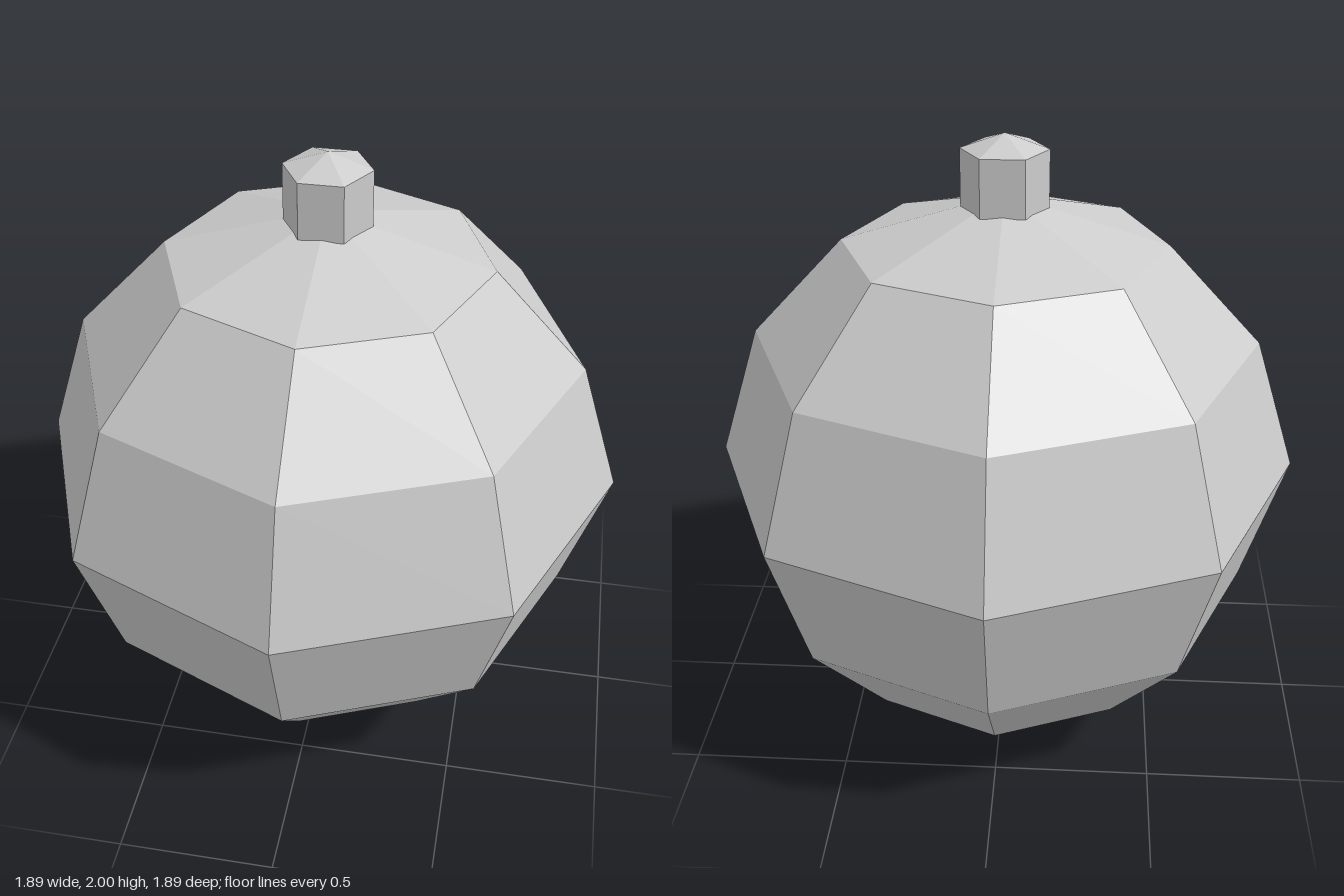
import * as THREE from 'three';

export function createModel() {
  const model = new THREE.Group();
  const grey = new THREE.MeshStandardMaterial({ color: 0xcccccc, flatShading: true });
  grey.name = 'light grey';

  // Faceted solid of revolution; profile runs bottom to top as [radius, y]
  function addTurned(name, profile, sides) {
    const points = profile.map(([r, y]) => new THREE.Vector2(r, y));
    const mesh = new THREE.Mesh(new THREE.LatheGeometry(points, sides, Math.PI / 2), grey);
    mesh.name = name;
    model.add(mesh);
  }

  // Eight-sided ball
  addTurned('ball', [
    [0, 0], [0.53, 0.16], [0.805, 0.475], [0.943, 0.91],
    [0.805, 1.34], [0.51, 1.656], [0, 1.812],
  ], 8);

  // Six-sided cap with a shallow point
  addTurned('cap', [[0, 1.77], [0.136, 1.77], [0.136, 1.952], [0, 2]], 6);

  return model;
}
